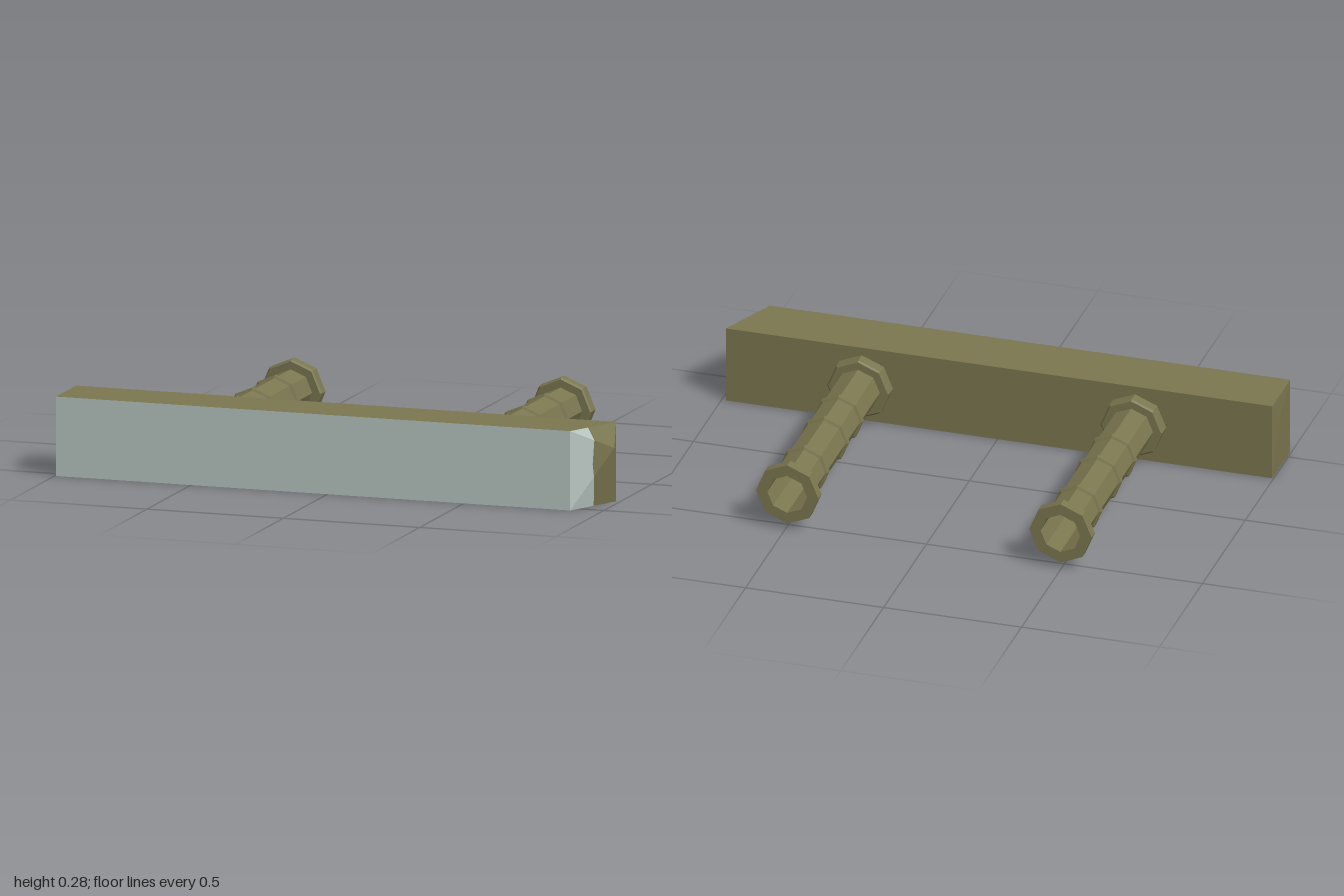
import * as THREE from 'three';

const olive = new THREE.MeshStandardMaterial({ color: 0x7b7750, flatShading: true });
olive.name = 'olive';
const paleGrey = new THREE.MeshStandardMaterial({ color: 0xb9c7c2, flatShading: true });
paleGrey.name = 'paleGrey';

const v = (x, y, z) => new THREE.Vector3(x, y, z);
const barCentre = v(0, 0.14, 0.435);

// Builds a mesh from convex polygons, each turned to face away from the bar's centre
function faceMesh(name, polygons, material) {
  const positions = [];
  for (const poly of polygons) {
    for (let i = 1; i < poly.length - 1; i++) {
      const tri = new THREE.Triangle(poly[0], poly[i], poly[i + 1]);
      const outward = tri.getNormal(v(0, 0, 0)).dot(poly[0].clone().sub(barCentre)) > 0;
      const order = outward ? [tri.a, tri.b, tri.c] : [tri.a, tri.c, tri.b];
      for (const p of order) positions.push(p.x, p.y, p.z);
    }
  }
  const geometry = new THREE.BufferGeometry();
  geometry.setAttribute('position', new THREE.Float32BufferAttribute(positions, 3));
  geometry.computeVertexNormals();
  const mesh = new THREE.Mesh(geometry, material);
  mesh.name = name;
  return mesh;
}

function createBar() {
  const top = 0.28, front = 0.54, back = 0.33;

  // Slanted end with a raised point
  const ft = v(0.89, top, front), fb = v(0.89, 0, front);
  const bt = v(0.985, top, back), bb = v(0.985, 0, back);
  const tip = v(1, 0.2, 0.39);

  // Almost square end with a shallow point
  const lft = v(-0.995, top, front), lfb = v(-0.995, 0, front);
  const lbt = v(-0.995, top, back), lbb = v(-0.995, 0, back);
  const leftTip = v(-1, 0.2, 0.4);

  // Colour boundary across the slanted end
  const cutTop = ft.clone().lerp(bt, 0.39);
  const cutUpper = ft.clone().lerp(tip, 0.547);
  const cutLower = fb.clone().lerp(tip, 0.54);
  const cutBottom = fb.clone().lerp(bb, 0.514);
  const cutMiddle = cutUpper.clone().lerp(cutLower, 0.65).lerp(ft.clone().lerp(fb, 0.5), 0.06);

  const bar = new THREE.Group();
  bar.name = 'bar';
  bar.add(
    faceMesh('barBody', [
      [ft, bt, lbt, lft], [fb, bb, lbb, lfb], [bt, bb, lbb, lbt],
      [lft, lbt, leftTip], [lbt, lbb, leftTip], [lbb, lfb, leftTip], [lfb, lft, leftTip],
      [bt, bb, tip],
      [cutTop, bt, tip, cutUpper],
      [cutUpper, cutMiddle, cutLower, tip],
      [cutBottom, bb, tip, cutLower],
    ], olive),
    faceMesh('barFront', [
      [ft, fb, lfb, lft],
      [ft, cutTop, cutUpper],
      [cutMiddle, cutUpper, ft, fb, cutLower],
      [fb, cutBottom, cutLower],
    ], paleGrey),
  );
  return bar;
}

// Eight-sided hollow pipe with flanged ends and three raised bands
function createPipe(name, x) {
  const r = 0.079, band = 0.088, flange = 0.113, bore = 0.072;
  const profile = [[bore, -0.33], [flange, -0.33], [flange, -0.29], [0.107, -0.285], [r, -0.285]];
  for (const y of [-0.064, 0.104, 0.336]) {
    profile.push([r, y - 0.012], [band, y - 0.008], [band, y + 0.008], [r, y + 0.012]);
  }
  profile.push([r, 0.497], [0.107, 0.497], [flange, 0.502], [flange, 0.54], [bore, 0.54], [bore, -0.33]);
  const geometry = new THREE.LatheGeometry(profile.map(([a, b]) => new THREE.Vector2(a, b)), 8);
  geometry.rotateX(-Math.PI / 2);
  const pipe = new THREE.Mesh(geometry, olive);
  pipe.name = name;
  pipe.position.set(x, 0.138, 0);
  return pipe;
}

export function createModel() {
  const model = new THREE.Group();
  model.name = 'barWithPipes';
  model.add(createBar(), createPipe('rightPipe', -0.498), createPipe('leftPipe', 0.492));
  return model;
}
